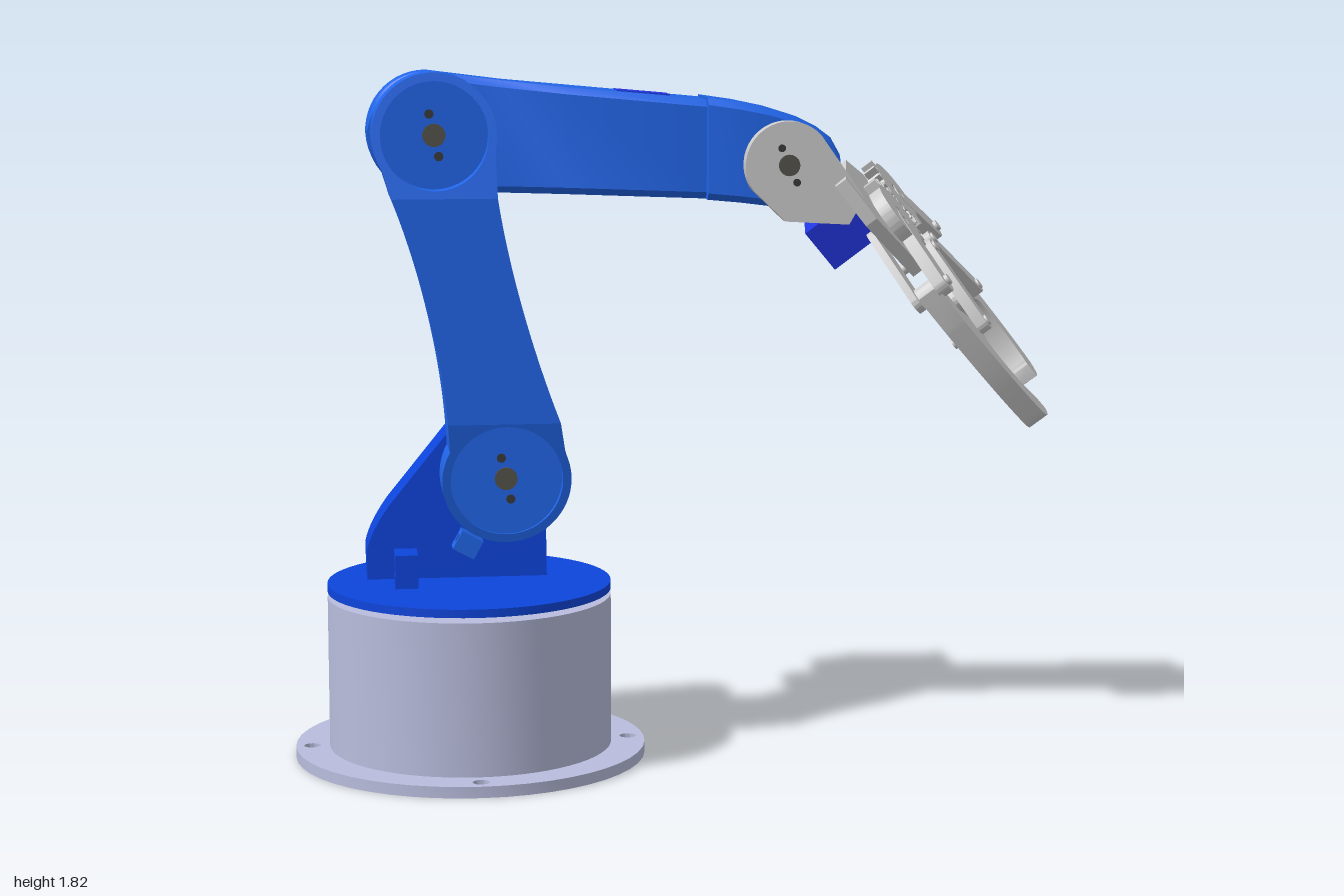
import * as THREE from 'three';
import { toCreasedNormals } from 'three/addons/utils/BufferGeometryUtils.js';

const mat = (color) => new THREE.MeshStandardMaterial({ color, side: THREE.DoubleSide });
const M = {
  base: mat(0xb9bddd), deep: mat(0x0d45dc), blue: mat(0x2166ea), servo: mat(0x2236e0),
  black: mat(0x3a3a3a), horn: mat(0x55524a), grey: mat(0xcccccc), wire: mat(0xb8682a),
};
const V = (x, y) => new THREE.Vector2(x, y);

function add(parent, name, geo, material, x = 0, y = 0, z = 0) {
  const m = new THREE.Mesh(geo, material);
  m.name = name;
  m.position.set(x, y, z);
  parent.add(m);
  return m;
}
const box = (p, name, m, w, h, d, x, y, z) => add(p, name, new THREE.BoxGeometry(w, h, d), m, x, y, z);

// Disc facing z
function disc(p, name, m, r, t, x, y, z) {
  return add(p, name, new THREE.CylinderGeometry(r, r, t, 32).rotateX(Math.PI / 2), m, x, y, z);
}
const circle = (x, y, r) => new THREE.Path().absarc(x, y, r, 0, Math.PI * 2, true);

// Extrude an outline from z0 to z1
function slab(shape, z0, z1) {
  const g = new THREE.ExtrudeGeometry(shape, { depth: z1 - z0, bevelEnabled: false, curveSegments: 24 });
  return toCreasedNormals(g.translate(0, 0, z0), 0.5);
}

// Chamfered box lofted along x, each section [x, yLow, yHigh, zLow, zHigh]
function loft(sections, c = 0.018) {
  const rings = sections.map(([x, a, b, e, f]) => {
    const k = Math.min(c, (b - a) / 3);
    return [[b, e + k], [b, f - k], [b - k, f], [a + k, f], [a, f - k], [a, e + k], [a + k, e], [b - k, e]]
      .map(([y, z]) => [x, y, z]);
  });
  const pos = [], n = 8, last = rings[rings.length - 1];
  for (let i = 0; i + 1 < rings.length; i++) for (let j = 0; j < n; j++) {
    const k = (j + 1) % n, a = rings[i][j], b = rings[i][k], d = rings[i + 1][k], e = rings[i + 1][j];
    pos.push(...a, ...b, ...d, ...a, ...d, ...e);
  }
  for (let j = 1; j < n - 1; j++) {
    pos.push(...last[0], ...last[j], ...last[j + 1], ...rings[0][0], ...rings[0][j + 1], ...rings[0][j]);
  }
  const g = new THREE.BufferGeometry();
  g.setAttribute('position', new THREE.Float32BufferAttribute(pos, 3));
  return toCreasedNormals(g, 0.45);
}

// Rounded bar between two pivots with pin holes
function bar(p, q, r, z0, z1) {
  const a = Math.atan2(q[1] - p[1], q[0] - p[0]), s = new THREE.Shape();
  s.absarc(p[0], p[1], r, a + Math.PI / 2, a + Math.PI * 1.5, false);
  s.absarc(q[0], q[1], r, a - Math.PI / 2, a + Math.PI / 2, false);
  s.holes.push(circle(p[0], p[1], r * 0.4), circle(q[0], q[1], r * 0.4));
  return slab(s, z0, z1);
}

// Motor with mounting ears and lead; its long side runs along x
function motor(parent, name, x, y, z, angle, leadEnd) {
  const g = new THREE.Group();
  g.name = name;
  g.position.set(x, y, z);
  g.rotation.z = angle;
  box(g, 'motorCase', M.black, 0.315, 0.155, 0.19, 0, 0, 0);
  box(g, 'motorEars', M.black, 0.39, 0.14, 0.02, 0, 0, 0.075);
  for (const i of [-1, 0, 1]) box(g, 'motorLead', M.wire, 0.04, 0.012, 0.012, leadEnd * 0.172, i * 0.014, -0.02);
  parent.add(g);
}

function buildBase(p) {
  const ring = new THREE.Shape().absarc(0, 0, 0.467, 0, Math.PI * 2, false);
  ring.holes.push(circle(0, 0, 0.345));
  for (let i = 0; i < 4; i++) ring.holes.push(circle(0.424 * Math.cos(i * Math.PI / 2), 0.424 * Math.sin(i * Math.PI / 2), 0.022));
  add(p, 'baseFlange', slab(ring, 0, 0.03).rotateX(-Math.PI / 2), M.base);
  const wall = [[0.345, 0.01], [0.377, 0.01], [0.377, 0.435], [0, 0.435], [0, 0.415], [0.345, 0.415], [0.345, 0.01]];
  add(p, 'baseHousing', toCreasedNormals(new THREE.LatheGeometry(wall.map(([x, y]) => V(x, y)), 64), 0.5), M.base);
  // Inner tab and cable port
  const tab = new THREE.Shape([[0.08, -0.1], [0.2, -0.2], [0.36, -0.2], [0.36, 0.2], [0.2, 0.2], [0.08, 0.1]].map(([x, y]) => V(x, y)));
  tab.holes.push(circle(0.21, 0, 0.09));
  const dir = 2.19, portDir = 2.35;
  add(p, 'innerTab', slab(tab, 0.002, 0.028).rotateX(-Math.PI / 2).rotateY(dir), M.base);
  const port = add(p, 'cablePort', new THREE.TorusGeometry(0.036, 0.004, 8, 24), M.horn, 0.377 * Math.cos(portDir), 0.1, -0.377 * Math.sin(portDir));
  port.rotation.y = portDir + Math.PI / 2;
  box(p, 'baseMotor', M.black, 0.34, 0.26, 0.19, 0.05, 0.285, 0.04).rotation.y = dir;
  add(p, 'turntableHub', new THREE.CylinderGeometry(0.08, 0.08, 0.01, 32), M.horn, 0, 0.438, 0);
  add(p, 'turntable', new THREE.CylinderGeometry(0.377, 0.377, 0.022, 64), M.deep, 0, 0.46, 0);
}

function buildShoulder(p) {
  const s = new THREE.Shape();
  s.moveTo(0.21, 0.47); s.lineTo(-0.27, 0.47); s.lineTo(-0.27, 0.55);
  s.quadraticCurveTo(-0.26, 0.6, -0.21, 0.67);
  s.absarc(0.09, 0.755, 0.18, 2.4, -0.3, true);
  s.quadraticCurveTo(0.2, 0.64, 0.21, 0.56);
  add(p, 'shoulderBracket', slab(s, -0.18, -0.035), M.deep);
  motor(p, 'shoulderMotor', 0.04, 0.695, -0.275, 0.93, 1);
  // Cable clips
  const clip = new THREE.Shape([V(-0.05, 0), V(0.05, 0), V(0.05, 0.09), V(-0.05, 0.09)]);
  clip.holes.push(new THREE.Path([V(-0.03, 0.03), V(-0.03, 0.065), V(0.03, 0.065), V(0.03, 0.03)]));
  add(p, 'cableClip', slab(clip, -0.03, 0.03).rotateY(Math.PI / 2), M.deep, -0.17, 0.47, 0.05);
  const small = add(p, 'linkClip', slab(clip, -0.04, 0.03).rotateY(Math.PI / 2).scale(0.9, 0.6, 0.6), M.blue, -0.015, 0.55, 0.03);
  small.rotation.z = -0.5;
}

function buildLink(p) {
  const A = [0.095, 0.755, 0.17], B = [-0.085, 1.66, 0.162], yA = 0.91, yB = 1.5;
  // Waisted middle
  const s = new THREE.Shape();
  s.moveTo(0.235, yA);
  s.bezierCurveTo(0.17, 1.08, 0.105, 1.3, 0.075, yB);
  s.lineTo(-0.2, yB);
  s.bezierCurveTo(-0.13, 1.33, -0.075, 1.1, -0.06, yA);
  add(p, 'linkMiddle', slab(s, -0.03, 0.14), M.blue);

  // Round ends: flat plate plus a rim sloping down away from the middle
  const ends = [
    [A, 2.65, 0.45 + Math.PI * 2, V(0.235, yA), V(-0.06, yA)],
    [B, -0.25, Math.PI + 0.55, V(-0.2, yB), V(0.075, yB)],
  ];
  for (const [c, a0, a1, q0, q1] of ends) {
    const outline = () => {
      const e = new THREE.Shape().absarc(...c, a0, a1, false);
      e.lineTo(q0.x, q0.y); e.lineTo(q1.x, q1.y);
      return e;
    };
    add(p, 'linkEnd', slab(outline(), -0.03, 0.07), M.blue);
    const rim = outline();
    rim.holes.push(circle(c[0], c[1], c[2] - 0.022));
    const g = new THREE.ExtrudeGeometry(rim, { depth: 0.07, bevelEnabled: false, curveSegments: 32 });
    const v = g.attributes.position;
    for (let i = 0; i < v.count; i++) {
      const t = Math.abs(v.getY(i) - q0.y) / 0.34;
      v.setZ(i, 0.07 + v.getZ(i) * (1 - t));
    }
    add(p, 'linkRim', toCreasedNormals(g, 0.5), M.blue);
    disc(p, 'hornHub', M.horn, 0.03, 0.012, c[0], c[1], 0.07);
    for (const k of [-1, 1]) disc(p, 'hornScrew', M.black, 0.012, 0.006, c[0] - k * 0.012, c[1] + k * 0.055, 0.07);
  }
}

function buildForearm(p) {
  const sec = [], r = 0.16;
  for (let i = 0; i <= 12; i++) {
    const a = 0.06 + i / 12 * (Math.PI / 2 - 0.06);
    sec.push([-0.095 - r * Math.cos(a), 1.66 - r * Math.sin(a), 1.66 + r * Math.sin(a), -0.175, -0.035]);
  }
  sec.push([0.1, 1.5, 1.795, -0.175, -0.035], [0.26, 1.5, 1.78, -0.175, 0.035], [0.632, 1.485, 1.745, -0.175, 0.04]);
  add(p, 'forearm', loft(sec), M.blue);
  motor(p, 'elbowMotor', 0.04, 1.655, -0.265, -0.07, -1);
  box(p, 'rollMotor', M.servo, 0.14, 0.1, 0.1, 0.47, 1.713, -0.08).rotation.z = -0.09;
  // Rotating wrist
  add(p, 'wrist', loft([
    [0.636, 1.482, 1.75, -0.18, 0.045], [0.72, 1.475, 1.738, -0.165, 0.06], [0.8, 1.465, 1.722, -0.12, 0.062],
    [0.87, 1.462, 1.7, -0.11, 0.062], [0.92, 1.475, 1.675, -0.11, 0.062],
    [0.96, 1.505, 1.645, -0.11, 0.062], [0.985, 1.55, 1.6, -0.11, 0.062],
  ]), M.blue);
  box(p, 'wristMotor', M.servo, 0.19, 0.1, 0.1, 0.81, 1.615, -0.135).rotation.z = -0.1;
  // Side arm carrying the gripper
  const s = new THREE.Shape();
  s.absarc(0.84, 1.577, 0.115, 0.75, Math.PI + 0.6, false);
  s.lineTo(0.83, 1.43); s.lineTo(1.0, 1.42); s.lineTo(1.04, 1.49);
  add(p, 'gripperBracket', slab(s, 0.07, 0.115), M.grey);
  disc(p, 'bracketHub', M.horn, 0.028, 0.01, 0.84, 1.577, 0.114);
  for (const k of [-1, 1]) disc(p, 'bracketScrew', M.black, 0.01, 0.01, 0.84 - k * 0.02, 1.577 + k * 0.045, 0.114);
}

// Gripper frame: y along the fingers, z out of the gear face
function buildGripper(p) {
  const d = new THREE.Vector3(0.629, -0.777, 0), n0 = new THREE.Vector3(0.777, 0.629, 0);
  const z = n0.multiplyScalar(Math.cos(0.24)).add(new THREE.Vector3(0, 0, Math.sin(0.24)));
  const g = new THREE.Group();
  g.name = 'gripper';
  g.quaternion.setFromRotationMatrix(new THREE.Matrix4().makeBasis(d.clone().cross(z), d, z));
  g.rotateZ(0.07);
  g.position.set(1.17, 1.487, 0.016).addScaledVector(z, -0.03);
  p.add(g);

  const plate = new THREE.Shape([[-0.15, -0.08], [-0.07, -0.16], [0.14, -0.17], [0.16, -0.04], [0.08, 0.17], [-0.08, 0.17], [-0.15, 0.04]].map(([x, y]) => V(x, y)));
  add(g, 'gripperPlate', slab(plate, -0.08, -0.045), M.grey);
  box(g, 'gripperMotor', M.servo, 0.1, 0.13, 0.17, -0.08, -0.01, -0.165);

  for (const s of [1, -1]) {
    const P = (x, y) => [s * x, y];
    // Gear with teeth on the meshing side
    const pts = [], N = 22;
    for (let i = 0; i < N; i++) for (const [k, tooth] of [[-0.27, 0], [-0.1, 1], [0.1, 1], [0.27, 0]]) {
      const a = (i + k + (s > 0 ? 0.5 : 0)) / N * Math.PI * 2;
      const r = tooth && s * Math.cos(a) < 0.1 ? 0.113 : 0.09;
      pts.push(V(s * 0.103 + r * Math.cos(a), r * Math.sin(a)));
    }
    const gear = new THREE.Shape(pts);
    gear.holes.push(circle(s * 0.103, 0, 0.02));
    add(g, 'gear', slab(gear, -0.03, 0.005), M.grey);
    disc(g, 'gearPin', s > 0 ? M.grey : M.horn, 0.02, 0.03, s * 0.103, 0, -0.012);

    // Cranks above and below the finger, linkage and pins
    add(g, 'crank', bar(P(0.12, 0.02), P(0.24, 0.185), 0.032, -0.028, 0.006), M.grey);
    add(g, 'rearCrank', bar(P(0.12, 0.02), P(0.24, 0.185), 0.03, -0.1, -0.08), M.grey);
    add(g, 'linkage', bar(P(0.037, 0.15), P(0.155, 0.365), 0.024, -0.02, 0.01), M.grey);
    for (const q of [P(0.037, 0.15), P(0.155, 0.365), P(0.24, 0.185)]) {
      disc(g, 'pivotPin', M.grey, 0.015, 0.115, q[0], q[1], -0.042);
    }

    // Curved finger
    const f = new THREE.Shape();
    f.moveTo(...P(0.212, 0.175));
    f.quadraticCurveTo(...P(0.24, 0.135), ...P(0.268, 0.175));
    f.lineTo(...P(0.272, 0.29));
    f.bezierCurveTo(...P(0.262, 0.4), ...P(0.255, 0.54), ...P(0.205, 0.65));
    f.quadraticCurveTo(...P(0.17, 0.69), ...P(0.128, 0.67));
    f.lineTo(...P(0.133, 0.63));
    f.bezierCurveTo(...P(0.18, 0.57), ...P(0.195, 0.48), ...P(0.178, 0.41));
    f.lineTo(...P(0.14, 0.39));
    f.quadraticCurveTo(...P(0.12, 0.355), ...P(0.16, 0.33));
    f.lineTo(...P(0.21, 0.28));
    add(g, 'finger', slab(f, -0.078, -0.02), M.grey);
  }
}

export function createModel() {
  const model = new THREE.Group();
  model.name = 'robotArm';
  const arm = new THREE.Group();
  arm.name = 'armAssembly';
  arm.position.set(-0.533, 0, 0.045);
  arm.rotation.y = 0.2;
  model.add(arm);
  for (const build of [buildBase, buildShoulder, buildLink, buildForearm, buildGripper]) build(arm);
  return model;
}
